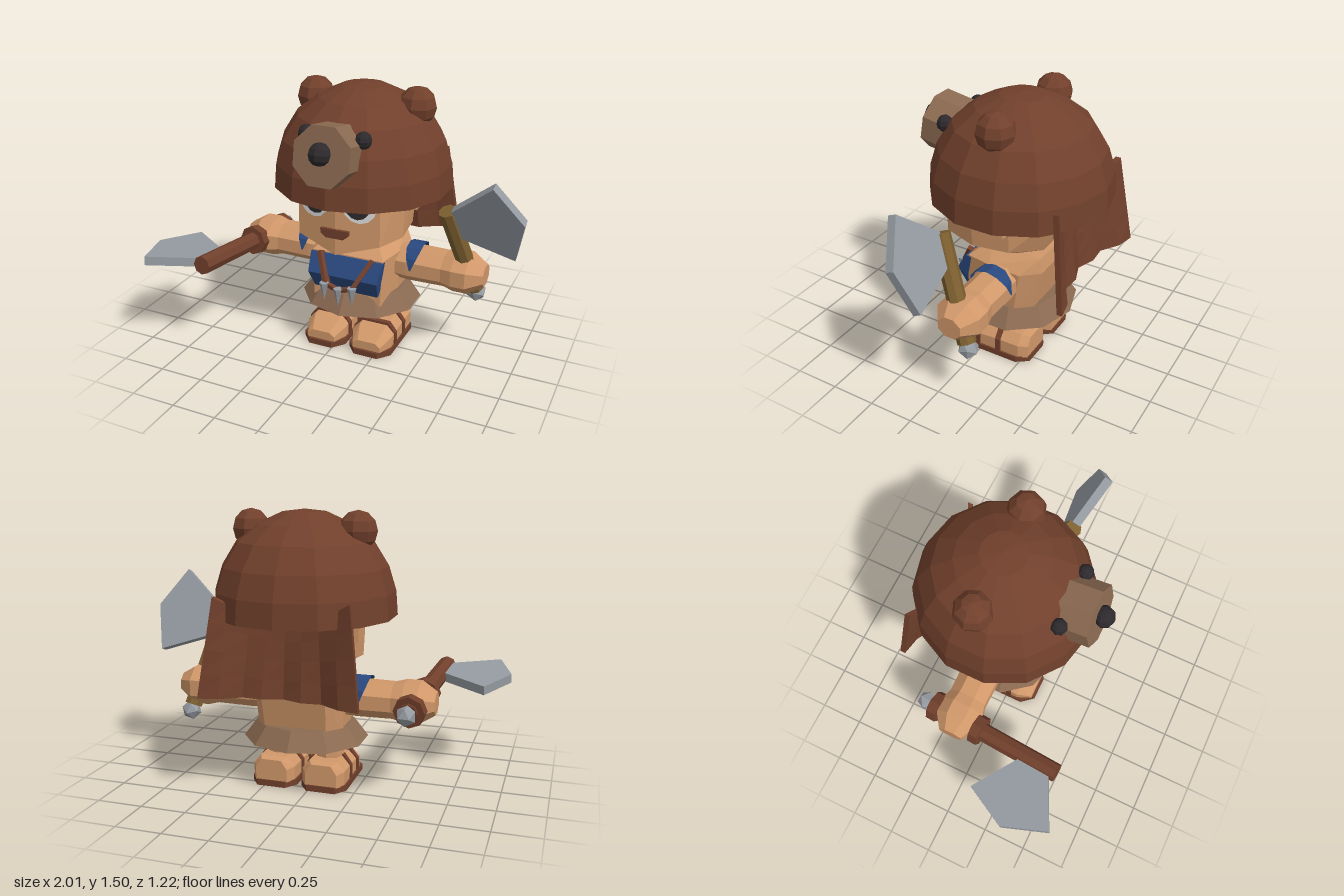
import * as THREE from 'three';
import { ConvexGeometry } from 'three/addons/geometries/ConvexGeometry.js';

const V = (x, y, z) => new THREE.Vector3(x, y, z);
const mat = (name, color) => new THREE.MeshStandardMaterial({ name, color, flatShading: true, side: THREE.DoubleSide });

export function createModel() {
  const brown = mat('brown leather', 0x71402c);
  const skin = mat('skin', 0xd1986a);
  const tan = mat('tan hide', 0x8b6a51);
  const blue = mat('blue cloth', 0x29487e);
  const steel = mat('steel', 0x969ca2);
  const olive = mat('olive wood', 0x7d6030);
  const black = mat('black', 0x2d292c);
  const white = mat('eye white', 0xdedede);

  const model = new THREE.Group();
  const body = new THREE.Group();
  body.name = 'body';
  body.position.x = 0.068;
  model.add(body);

  const add = (parent, name, geo, material, x = 0, y = 0, z = 0) => {
    const m = new THREE.Mesh(geo, material);
    m.name = name;
    m.position.set(x, y, z);
    parent.add(m);
    return m;
  };
  // convex solid from half-sections [halfWidth, y, z], mirrored in x
  const solid = (pts) => new ConvexGeometry(pts.flatMap(([x, y, z]) => (x ? [V(x, y, z), V(-x, y, z)] : [V(0, y, z)])));
  const ball = (r) => new THREE.SphereGeometry(r, 8, 6);
  const lathe = (pts, n) => new THREE.LatheGeometry(pts.map(([r, y]) => new THREE.Vector2(r, y)), n);

  // head
  add(body, 'head', solid([
    [0, 0.64, 0.255], [0.235, 0.71, 0.21], [0, 1.1, 0.255], [0.235, 1.1, 0.21],
    [0.29, 0.7, 0.02], [0.31, 1.1, 0.02], [0.2, 0.65, 0.02], [0.18, 0.66, -0.19],
    [0.27, 0.71, -0.19], [0.3, 1.1, -0.2], [0.14, 0.7, -0.325], [0.17, 0.94, -0.41], [0.17, 1.1, -0.42],
  ]), skin);
  add(body, 'neck', new THREE.CylinderGeometry(0.12, 0.14, 0.12, 8), skin, 0, 0.65, -0.12);
  add(body, 'mouth', solid([[0.08, 0.79, 0.25], [0.08, 0.765, 0.25], [0.05, 0.74, 0.25],
    [0.08, 0.79, 0.268], [0.08, 0.765, 0.268], [0.05, 0.74, 0.268]]), brown);
  for (const s of [-1, 1]) {
    const eye = new THREE.Group();
    eye.name = s > 0 ? 'leftEye' : 'rightEye';
    eye.position.set(s * 0.13, 0.925, 0.233);
    eye.rotation.y = s * 0.19;
    body.add(eye);
    add(eye, 'eyeWhite', new THREE.CylinderGeometry(0.09, 0.09, 0.009, 12).rotateX(Math.PI / 2), white);
    add(eye, 'pupil', new THREE.CylinderGeometry(0.064, 0.064, 0.009, 12).rotateX(Math.PI / 2), black, -s * 0.01, -0.003, 0.005);
    add(body, 'ear', new THREE.BoxGeometry(0.05, 0.14, 0.06), skin, s * 0.29, 0.88, -0.15);
  }

  // animal-head hat
  add(body, 'hat', lathe([[0.44, 0.95], [0.495, 0.94], [0.485, 1.07], [0.445, 1.2], [0.365, 1.33],
    [0.25, 1.42], [0.12, 1.48], [0, 1.495]], 14), brown, 0, 0, -0.115);
  const snout = new THREE.Group();
  snout.name = 'snout';
  snout.position.set(0, 1.235, 0.41);
  snout.rotation.x = -0.18;
  body.add(snout);
  add(snout, 'muzzle', new THREE.CylinderGeometry(0.165, 0.165, 0.28, 8).rotateY(Math.PI / 8).rotateX(Math.PI / 2), tan, 0, 0, -0.14);
  add(snout, 'nose', ball(0.06), black, 0, 0.015, 0.02);
  for (const s of [-1, 1]) {
    add(body, 'hatEye', ball(0.045), black, s * 0.158, 1.295, 0.255);
    add(body, 'hatEar', ball(0.105), brown, s * 0.295, 1.39, -0.135);
  }

  // back flap: corners flare backwards and stand up through the hat
  const flap = new THREE.BoxGeometry(2, 1, 0.03, 8, 4, 1);
  const fp = flap.attributes.position;
  for (let i = 0; i < fp.count; i++) {
    const u = fp.getX(i), d = 0.5 - fp.getY(i), t = fp.getZ(i);
    const ripple = 0.015 * Math.cos(u * Math.PI * 4) * d;
    const top = 0.95 + 0.12 * u * u;
    fp.setXYZ(i, u * (0.36 + 0.065 * d), top + (0.555 - top) * d,
      -0.41 - 0.055 * d - (0.09 + 0.03 * d) * u * u + ripple + t);
  }
  add(body, 'backFlap', flap, brown);

  // torso and clothing
  add(body, 'torso', solid([
    [0.13, 0.66, -0.01], [0.17, 0.66, -0.325], [0.21, 0.57, 0.1], [0.25, 0.58, -0.06], [0.25, 0.57, -0.24],
    [0.18, 0.58, -0.34], [0.2, 0.3, 0.11], [0.24, 0.3, -0.05], [0.24, 0.3, -0.2], [0.17, 0.27, -0.28],
  ]), skin);
  add(body, 'chestCloth', solid([
    [0.215, 0.565, 0.115], [0.205, 0.465, 0.175], [0.19, 0.36, 0.12], [0.215, 0.56, 0.06], [0.2, 0.37, 0.06],
  ]), blue);
  add(body, 'skirt', new THREE.CylinderGeometry(0.25, 0.32, 0.1, 10).scale(1.08, 1, 1), tan, 0, 0.3, -0.105);

  // necklace with three fangs
  const cord = (name, a, b, w) => {
    const m = add(body, name, new THREE.BoxGeometry(w, a.distanceTo(b), 0.025), brown);
    m.position.copy(a).add(b).multiplyScalar(0.5);
    m.quaternion.setFromUnitVectors(V(0, 1, 0), b.clone().sub(a).normalize());
  };
  for (const s of [-1, 1]) {
    cord('necklaceStrap', V(s * 0.155, 0.575, 0.115), V(s * 0.075, 0.425, 0.21), 0.04);
    cord('necklaceCord', V(s * 0.085, 0.43, 0.205), V(0, 0.41, 0.215), 0.022);
  }
  for (const x of [-0.083, 0, 0.083]) {
    add(body, 'fang', new THREE.ConeGeometry(0.027, 0.11, 6).rotateX(Math.PI), steel, x, x ? 0.39 : 0.37, 0.225);
  }

  // arms with shoulder cloths, legs and sandals
  const footSlice = (z, top, g = 0, w = 1) => [
    [0.118 * w + g, 0.03, z], [0.118 * w + g, 0.03 + (top - 0.03) * 0.6, z], [0.075 * w + g, top + g, z],
  ];
  for (const s of [-1, 1]) {
    const side = s > 0 ? 'left' : 'right';
    const arm = new THREE.Group();
    arm.name = side + 'Arm';
    arm.position.set(0, 0.5, -0.118);
    if (s < 0) arm.rotation.y = Math.PI;
    body.add(arm);
    add(arm, 'armAndHand', lathe([[0.095, 0.12], [0.108, 0.3], [0.105, 0.5], [0.122, 0.56], [0.122, 0.64], [0.065, 0.725], [0, 0.725]], 8)
      .rotateY(Math.PI / 8).rotateZ(-Math.PI / 2).scale(1, 0.95, 1.1), skin);
    const cloth = new THREE.CylinderGeometry(0.125, 0.125, 0.085, 6, 1, true, 0, Math.PI);
    const cp = cloth.attributes.position;
    for (let i = 0; i < cp.count; i++) cp.setY(i, cp.getY(i) * (0.1 + 0.9 * Math.min(1, cp.getX(i) / 0.1)));
    add(arm, 'shoulderCloth', cloth.rotateZ(Math.PI / 2), blue, 0.33, 0, 0);

    const leg = new THREE.Group();
    leg.name = side + 'Leg';
    leg.position.x = s * 0.141;
    body.add(leg);
    add(leg, 'shin', new THREE.CylinderGeometry(0.08, 0.08, 0.2, 8), skin, 0, 0.22, -0.115);
    add(leg, 'foot', solid([...footSlice(0.155, 0.085, 0, 0.7), ...footSlice(0.07, 0.14), ...footSlice(-0.1, 0.158), ...footSlice(-0.24, 0.16),
      ...footSlice(-0.29, 0.15, 0, 0.75)]), skin);
    const sole = [[0.07, 0.17], [0.128, 0.1], [0.128, -0.23], [0.08, -0.297]];
    add(leg, 'sole', solid(sole.flatMap(([x, z]) => [[x, 0, z], [x, 0.034, z]])), brown);
    for (const [z, top] of [[0.015, 0.15], [-0.115, 0.16]]) {
      add(leg, 'sandalStrap', solid([...footSlice(z - 0.015, top, 0.008), ...footSlice(z + 0.015, top, 0.008)]), brown);
    }
  }

  // axes: shaft along local y with its head end at the origin, blade towards local x
  const axe = (name, end, butt, out, wood, radius, bladeAt) => {
    const g = new THREE.Group();
    g.name = name;
    const up = end.clone().sub(butt);
    const len = up.length();
    up.normalize();
    const o = out.clone().addScaledVector(up, -out.dot(up)).normalize();
    g.quaternion.setFromRotationMatrix(new THREE.Matrix4().makeBasis(o, up, o.clone().cross(up)));
    g.position.copy(end);
    model.add(g);
    add(g, 'shaft', new THREE.CylinderGeometry(radius, radius, len, 8), wood, 0, -len / 2, 0);
    add(g, 'pommel', new THREE.IcosahedronGeometry(0.056, 0), steel, 0, -len - 0.03, 0);
    const shape = new THREE.Shape([[0.03, -0.09], [0.295, -0.245], [0.4, 0], [0.295, 0.245], [0.03, 0.09]]
      .map(([x, y]) => new THREE.Vector2(x, y)));
    add(g, 'blade', new THREE.ExtrudeGeometry(shape, { depth: 0.05, bevelEnabled: false }), steel, 0, bladeAt, -0.025);
    return g;
  };
  const rightAxe = axe('rightAxe', V(-0.607, 0.555, 0.515), V(-0.54, 0.485, -0.295), V(-1, 0, 0), brown, 0.052, -0.125);
  for (const y of [-0.5, -0.775]) {
    add(rightAxe, 'gripCollar', new THREE.CylinderGeometry(0.085, 0.085, 0.055, 8), brown, 0, y, 0);
  }
  axe('leftAxe', V(0.607, 0.905, 0.04), V(0.722, 0.385, -0.175), V(1, 0, 0), olive, 0.05, -0.08);

  return model;
}
